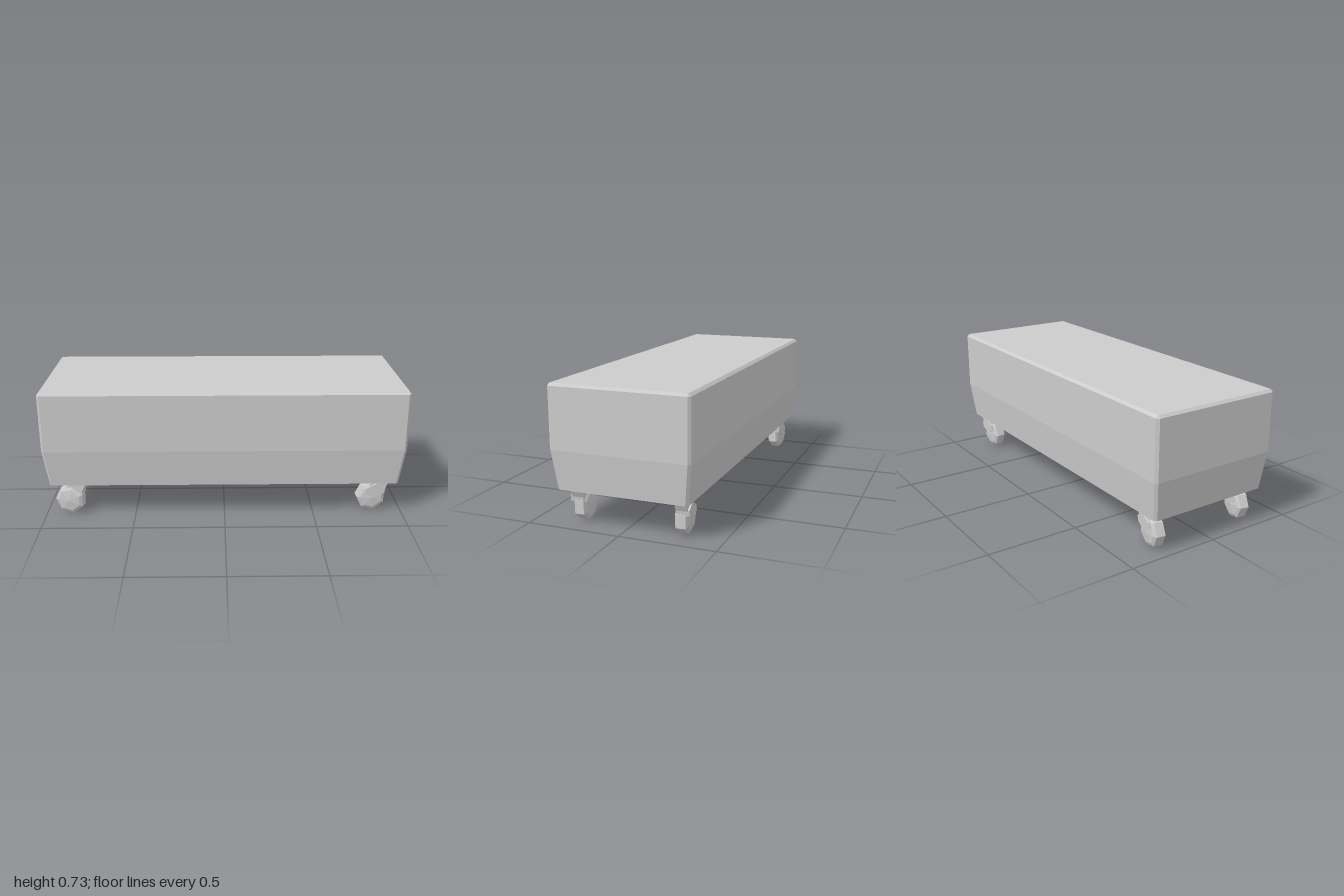
import * as THREE from 'three';

// Rectangular ring with cut corners, at height y
function ring(hx, hz, y, c) {
  return [
    [hx, hz - c], [hx - c, hz], [-hx + c, hz], [-hx, hz - c],
    [-hx, -hz + c], [-hx + c, -hz], [hx - c, -hz], [hx, -hz + c],
  ].map(([x, z]) => [x, y, z]);
}

// Open-bottomed shell lofted through the rings and capped on top
function shellGeometry(rings) {
  const pos = [];
  const n = rings[0].length;
  for (let r = 0; r < rings.length - 1; r++) {
    for (let i = 0; i < n; i++) {
      const j = (i + 1) % n;
      const a = rings[r][i], b = rings[r][j], c = rings[r + 1][j], d = rings[r + 1][i];
      pos.push(...a, ...c, ...b, ...a, ...d, ...c);
    }
  }
  const top = rings[rings.length - 1];
  for (let i = 1; i < n - 1; i++) pos.push(...top[0], ...top[i + 1], ...top[i]);
  const g = new THREE.BufferGeometry();
  g.setAttribute('position', new THREE.Float32BufferAttribute(pos, 3));
  g.computeVertexNormals();
  return g;
}

// Flat plate in the xy plane, centred on z
function plate(points, depth, z) {
  const shape = new THREE.Shape(points.map(([x, y]) => new THREE.Vector2(x, y)));
  const g = new THREE.ExtrudeGeometry(shape, { depth, bevelEnabled: false });
  g.translate(0, 0, z - depth / 2);
  return g;
}

export function createModel() {
  const model = new THREE.Group();
  model.name = 'wheeledOttoman';
  const grey = new THREE.MeshStandardMaterial({ color: 0xcccccc });
  grey.name = 'grey';
  grey.flatShading = true;
  grey.side = THREE.DoubleSide;

  const add = (parent, name, geometry) => {
    const mesh = new THREE.Mesh(geometry, grey);
    mesh.name = name;
    parent.add(mesh);
    return mesh;
  };

  // Body: tapered lower skirt, straight sides, small bevel around the lid
  add(model, 'body', shellGeometry([
    ring(0.968, 0.347, 0.186, 0.013),
    ring(0.995, 0.371, 0.395, 0.014),
    ring(0.995, 0.371, 0.713, 0.014),
    ring(0.982, 0.357, 0.727, 0.002),
  ]));

  // Seven-sided wheel with bulging sides
  const profile = [[0, -0.042], [0.064, -0.034], [0.082, -0.024], [0.082, 0.024], [0.064, 0.034], [0, 0.042]];
  const wheel = new THREE.LatheGeometry(
    profile.map(([x, y]) => new THREE.Vector2(x, y)), 7, Math.PI / 2 + Math.PI / 7);
  wheel.rotateX(Math.PI / 2);

  // Slanted stem, and the prong that runs down beside the wheel
  const stem = plate([[0.015, 0.115], [-0.02, 0.065], [0.03, 0.03], [0.072, 0.03], [0.075, 0.055], [0.105, 0.115]], 0.062, 0);
  const prong = plate([[0.03, 0.09], [-0.03, 0.06], [-0.04, 0.03], [0.01, 0], [0.07, 0.03], [0.075, 0.06]], 0.02, 0.036);

  // Casters: x, z, swivel, side of the prong
  const casters = [
    ['frontLeftCaster', 0.83, 0.267, 0.04, 1],
    ['backLeftCaster', 0.83, -0.28, 0.06, -1],
    ['frontRightCaster', -0.865, 0.285, -0.2, -1],
    ['backRightCaster', -0.865, -0.278, -0.15, -1],
  ];
  for (const [name, x, z, swivel, side] of casters) {
    const caster = new THREE.Group();
    caster.name = name;
    add(caster, 'wheel', wheel);
    add(caster, 'stem', stem).position.z = side * 0.006;
    const arm = add(caster, 'prong', prong);
    if (side < 0) arm.position.z = -0.072;
    caster.position.set(x, 0.081, z);
    caster.rotation.y = swivel;
    model.add(caster);
  }
  return model;
}
